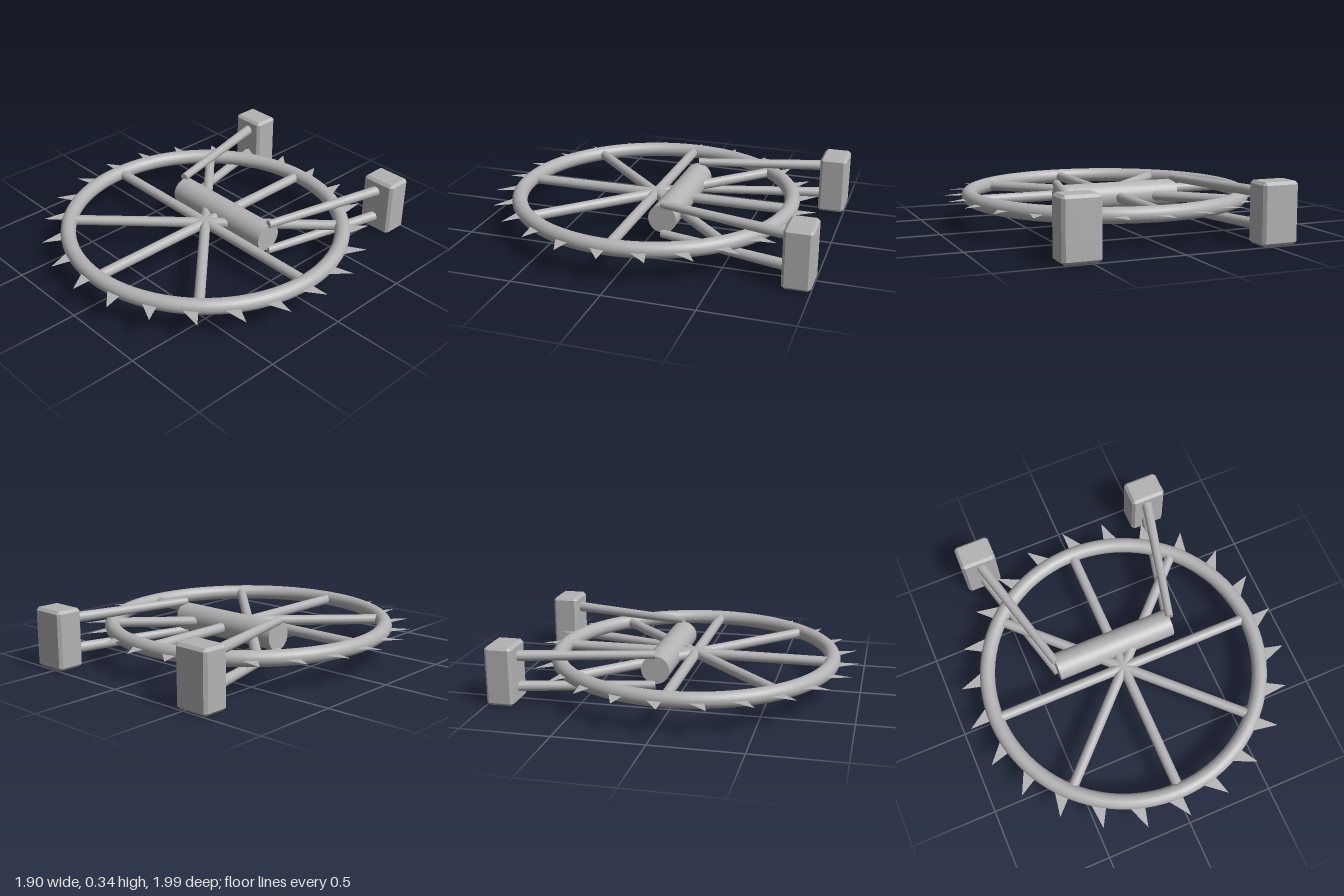
import * as THREE from 'three';
import { ConvexGeometry } from 'three/addons/geometries/ConvexGeometry.js';

const MID_Y = 0.172;   // height of the wheel plane
const WHEEL_Z = 0.04;  // wheel centre along z

export function createModel() {
  const model = new THREE.Group();
  model.name = 'spikedWheelMachine';

  const metal = new THREE.MeshStandardMaterial({ color: 0xb3b3b3 });
  metal.name = 'grey metal';
  const thinMetal = metal.clone(); // same grey, for the open spike faces
  thinMetal.side = THREE.DoubleSide;

  const add = (name, geometry, parent, material = metal) => {
    const mesh = new THREE.Mesh(geometry, material);
    mesh.name = name;
    parent.add(mesh);
    return mesh;
  };

  // Tapered round bar between two points
  const bar = (name, a, b, ra, rb, parent) => {
    const dir = b.clone().sub(a);
    const mesh = add(name, new THREE.CylinderGeometry(rb, ra, dir.length(), 24), parent);
    mesh.position.copy(a).addScaledVector(dir, 0.5);
    mesh.quaternion.setFromUnitVectors(new THREE.Vector3(0, 1, 0), dir.normalize());
    return mesh;
  };

  // Box with every edge chamfered by c
  const chamferedBox = (w, h, d, c) => {
    const points = [];
    for (const x of [-1, 1]) for (const y of [-1, 1]) for (const z of [-1, 1]) {
      for (let axis = 0; axis < 3; axis++) {
        const inset = [c, c, c];
        inset[axis] = 0;
        points.push(new THREE.Vector3(
          x * (w / 2 - inset[0]), y * (h / 2 - inset[1]), z * (d / 2 - inset[2])));
      }
    }
    return new ConvexGeometry(points);
  };

  // Wheel: rim, spokes and saw-tooth spikes, lying flat
  const wheel = new THREE.Group();
  wheel.name = 'wheel';
  wheel.position.set(0, MID_Y, WHEEL_Z);
  model.add(wheel);

  add('rim', new THREE.TorusGeometry(0.795, 0.044, 24, 96).rotateX(Math.PI / 2), wheel);

  for (let i = 0; i < 8; i++) {
    const a = i * Math.PI / 4;
    const tip = new THREE.Vector3(Math.cos(a) * 0.79, 0, Math.sin(a) * 0.79);
    bar('spoke', new THREE.Vector3(), tip, 0.03, 0.029, wheel);
  }

  const tooth = new THREE.Shape([
    new THREE.Vector2(0.8, 0), new THREE.Vector2(0.95, 0), new THREE.Vector2(0.8, -0.105),
  ]);
  const toothGeometry = new THREE.ShapeGeometry(tooth).rotateX(-Math.PI / 2);
  for (let i = 0; i < 24; i++) {
    add('spike', toothGeometry, wheel, thinMetal).rotation.y = i * Math.PI / 12;
  }

  // Cross drum behind the wheel centre
  add('drum', new THREE.CylinderGeometry(0.081, 0.081, 0.72, 40).rotateZ(Math.PI / 2), model)
    .position.set(0, MID_Y, -0.115);

  // Rear end blocks, each held by an upper and a lower arm
  const blockGeometry = chamferedBox(0.21, 0.336, 0.156, 0.016);
  for (const side of [-1, 1]) {
    const support = new THREE.Group();
    support.name = side > 0 ? 'leftSupport' : 'rightSupport';
    model.add(support);
    add('endBlock', blockGeometry, support).position.set(side * 0.55, 0.168, -0.922);
    for (const [name, y] of [['upperArm', 0.262], ['lowerArm', 0.086]]) {
      bar(name, new THREE.Vector3(side * 0.36, y, -0.115),
        new THREE.Vector3(side * 0.553, y, -0.9), 0.023, 0.031, support);
    }
  }

  return model;
}
